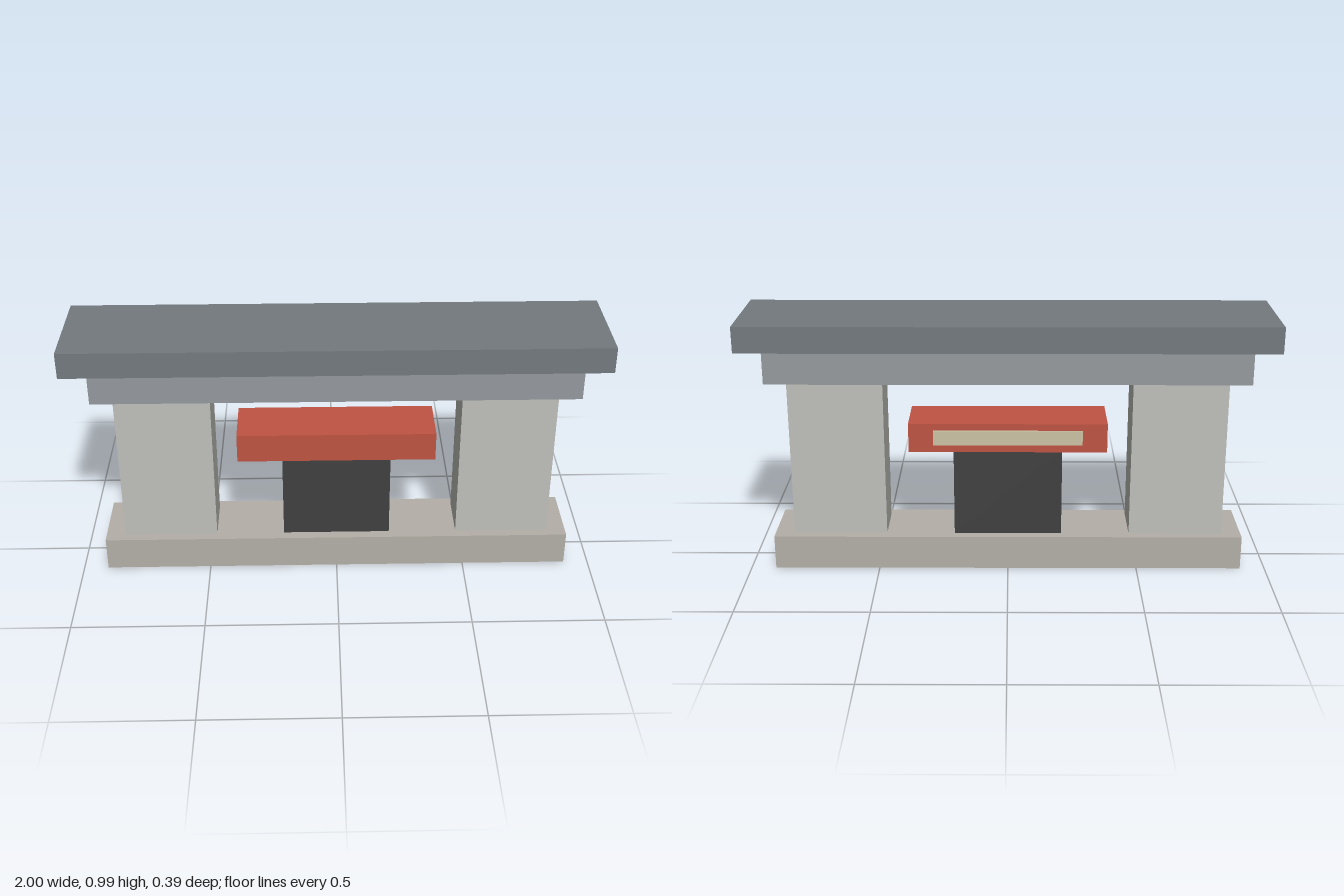
import * as THREE from 'three';

export function createModel() {
  const model = new THREE.Group();
  model.name = 'stoneGate';

  const material = (color) => new THREE.MeshStandardMaterial({ color });
  const paleStone = material(0xc0c0bb);
  const baseStone = material(0xb4b0a8);
  const greyStone = material(0x959a9e);
  const slate = material(0x737a7e);
  const red = material(0xbf5443);
  const charcoal = material(0x404040);
  const cream = material(0xcbc3a4);

  // Block centred on x, spanning y0 to y1
  function block(name, mat, width, y0, y1, depth, x = 0, z = 0) {
    const mesh = new THREE.Mesh(new THREE.BoxGeometry(width, y1 - y0, depth), mat);
    mesh.name = name;
    mesh.position.set(x, (y0 + y1) / 2, z);
    model.add(mesh);
  }

  // Base slab and the two pillars
  block('base', baseStone, 1.81, 0, 0.132, 0.264);
  for (const side of [-1, 1]) {
    block(side > 0 ? 'leftPillar' : 'rightPillar', paleStone, 0.36, 0.132, 0.757, 0.188, side * 0.65);
  }

  // Stepped lintel and roof slab
  block('lintel', greyStone, 1.81, 0.757, 0.89, 0.302);
  block('roofSlab', slate, 2, 0.89, 0.99, 0.394);

  // Central pedestal with its beam, and a plaque on the beam's back
  block('pedestal', charcoal, 0.414, 0.132, 0.474, 0.186);
  block('beam', red, 0.754, 0.474, 0.587, 0.212);
  block('plaque', cream, 0.566, 0.505, 0.561, 0.02, 0, -0.106);

  return model;
}
